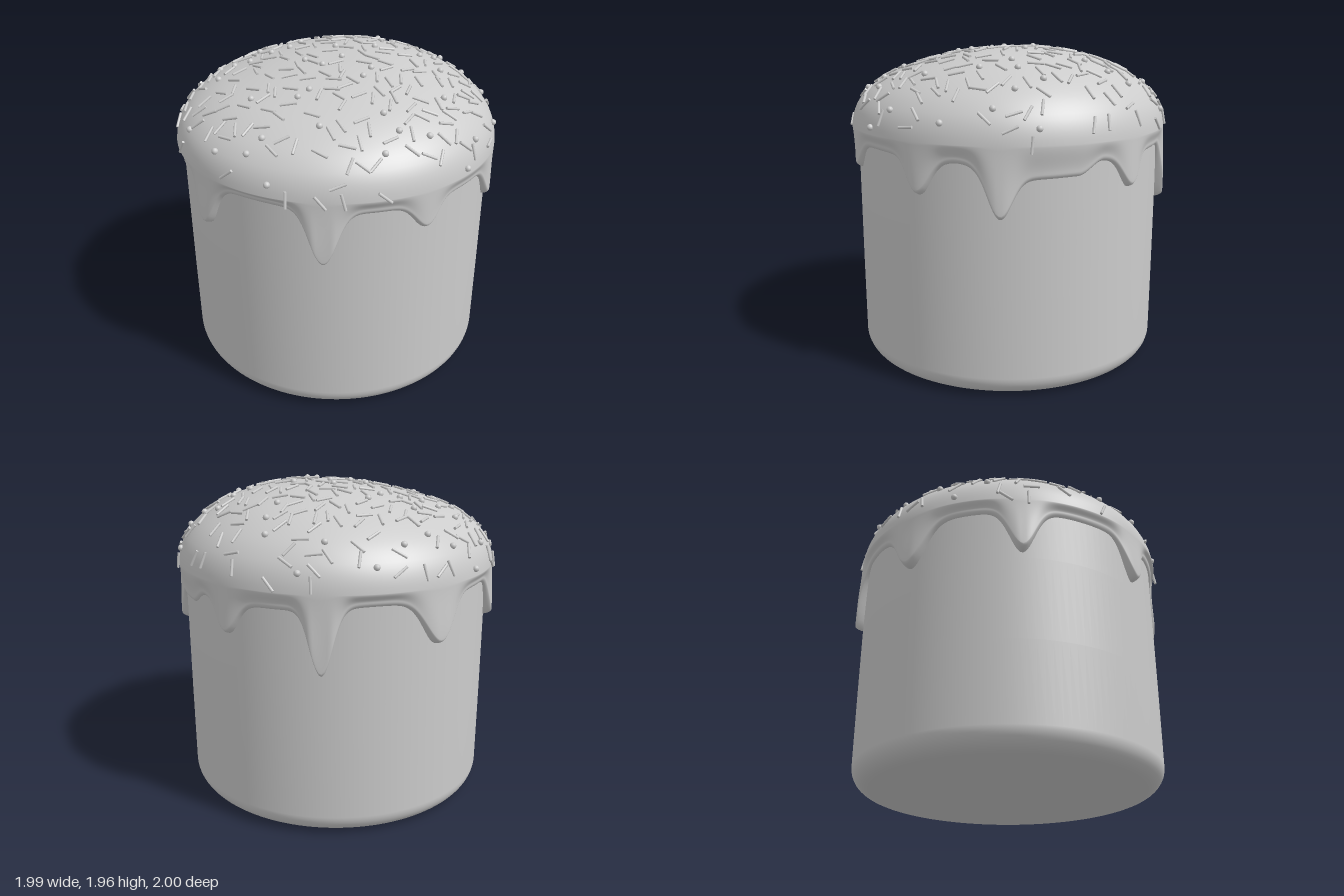
import * as THREE from 'three';
import { mergeGeometries } from 'three/addons/utils/BufferGeometryUtils.js';

const CX = -0.008, CZ = -0.013; // axis of the cake

// Drips: angle in degrees (0 = front, 90 = +x), tip height, width
const DRIPS = [
  [-7.7, 1.07, 6], [27.6, 1.23, 6], [66.5, 1.17, 6], [94.7, 1.06, 5.5], [143.5, 1.18, 6],
  [178, 1.0, 5], [219, 1.13, 8], [260, 1.13, 6], [306.5, 1.14, 6.5],
];
// Arches between the drips: angle, height
const ARCHES = [
  [-30, 1.405], [13, 1.375], [42, 1.375], [79, 1.36], [107, 1.275], [121, 1.28], [131, 1.355],
  [160, 1.36], [197, 1.385], [239, 1.385], [284, 1.39], [330, 1.405],
];

// Dome profile: radius, height
const DOME = new THREE.SplineCurve([
  [0, 1.93], [0.16, 1.927], [0.32, 1.91], [0.5, 1.87], [0.7, 1.8], [0.85, 1.71],
  [0.935, 1.62], [0.972, 1.54], [0.985, 1.47],
].map(([r, y]) => new THREE.Vector2(r, y)));

const smooth = (t) => t * t * (3 - 2 * t);
const mod360 = (a) => ((a % 360) + 360) % 360;

// Height of the arches at an angle, eased between the listed points
function archHeight(deg) {
  const a = mod360(deg + 30) - 30;
  const i = Math.max(1, ARCHES.findIndex((p) => p[0] >= a));
  const [p, q] = [ARCHES[i - 1], ARCHES[i]];
  return p[1] + (q[1] - p[1]) * smooth((a - p[0]) / (q[0] - p[0]));
}

// Lower edge of the icing and how strongly a drip swells there
function icingEdge(deg) {
  const top = archHeight(deg);
  let drop = 0;
  for (const [a, tip, w] of DRIPS) {
    const d = mod360(deg - a + 180) - 180;
    drop += (archHeight(a) - tip) * Math.exp(-((d / w) ** 2));
  }
  return { y: top - drop, swell: Math.min(1, drop / 0.24) };
}

const V_DOME = 0.6, V_WALL = 0.85;

// Point of the icing: v runs from the crown (0) over the dome and wall to the lip (1)
function icingPoint(v, deg) {
  const th = THREE.MathUtils.degToRad(deg);
  let r, y;
  if (v <= V_DOME) {
    const p = DOME.getPointAt(v / V_DOME);
    r = p.x;
    y = p.y + Math.sin(Math.PI * Math.min(r, 1)) * (0.024 * Math.sin(th) - 0.014 * Math.cos(th));
    if (v === V_DOME) y = 1.47;
  } else {
    const e = icingEdge(deg);
    const rEnd = 0.962 + 0.036 * e.swell;
    if (v <= V_WALL) {
      const t = (v - V_DOME) / (V_WALL - V_DOME);
      r = 0.985 + (rEnd - 0.985) * smooth(t);
      y = 1.47 + (e.y + 0.035 - 1.47) * t;
    } else {
      const a = (v - V_WALL) / (1 - V_WALL) * Math.PI / 2;
      r = 0.925 + (rEnd - 0.925) * Math.cos(a);
      y = e.y + 0.035 * (1 - Math.sin(a));
    }
  }
  return new THREE.Vector3(CX + r * Math.sin(th), y, CZ + r * Math.cos(th));
}

function icingGeometry() {
  const cols = 400, rows = 60, pos = [], index = [];
  for (let i = 0; i <= rows; i++) {
    for (let j = 0; j < cols; j++) pos.push(...icingPoint(i / rows, j * 360 / cols).toArray());
  }
  for (let i = 0; i < rows; i++) {
    for (let j = 0; j < cols; j++) {
      const k = (j + 1) % cols;
      const a = i * cols + j, b = a + cols, c = (i + 1) * cols + k, d = i * cols + k;
      index.push(a, b, c);
      if (i > 0) index.push(a, c, d);
    }
  }
  const g = new THREE.BufferGeometry();
  g.setAttribute('position', new THREE.Float32BufferAttribute(pos, 3));
  g.setIndex(index);
  g.computeVertexNormals();
  return g;
}

// Cake body with a rounded bottom edge
function bodyGeometry() {
  const pts = [new THREE.Vector2(0, 0), new THREE.Vector2(0.4, 0)];
  for (let i = 0; i <= 10; i++) {
    const a = i / 10 * Math.PI / 2;
    pts.push(new THREE.Vector2(0.825 + 0.12 * Math.sin(a), 0.12 - 0.12 * Math.cos(a)));
  }
  for (const y of [0.6, 1.1, 1.45]) pts.push(new THREE.Vector2(0.947, y));
  return new THREE.LatheGeometry(pts, 128);
}

function seeded(seed) {
  return () => {
    seed = (seed * 1664525 + 1013904223) % 4294967296;
    return seed / 4294967296;
  };
}

// Scatter rods and beads over the dome, thinning towards the sides
function scatterSprinkles() {
  const rand = seeded(7), rods = [], beads = [], placed = [];
  const rod = new THREE.CylinderGeometry(0.0085, 0.0085, 0.095, 8);
  const bead = new THREE.SphereGeometry(0.019, 12, 8);
  const up = new THREE.Vector3(0, 1, 0);
  for (let n = 0; n < 6000 && placed.length < 300; n++) {
    const s = Math.sqrt(rand()), deg = rand() * 360, keep = rand(), spin = rand() * Math.PI * 2;
    if (keep > 1 - 0.88 * THREE.MathUtils.smoothstep(s, 0.42, 0.95)) continue;
    const v = Math.max(0.02, s * V_DOME);
    const p = icingPoint(v, deg);
    if (placed.some((q) => q.distanceTo(p) < 0.068)) continue;
    placed.push(p);
    const side = icingPoint(v, deg + 1).sub(p).normalize();
    const down = icingPoint(v + 0.005, deg).sub(p).normalize();
    const normal = down.clone().cross(side).normalize();
    const isBead = placed.length % 6 === 0;
    const dir = side.multiplyScalar(Math.cos(spin)).addScaledVector(down, Math.sin(spin)).normalize();
    const m = new THREE.Matrix4().compose(
      p.clone().addScaledVector(normal, 0.005),
      new THREE.Quaternion().setFromUnitVectors(up, dir),
      new THREE.Vector3(1, 1, 1),
    );
    (isBead ? beads : rods).push((isBead ? bead : rod).clone().applyMatrix4(m));
  }
  return { rods: mergeGeometries(rods), beads: mergeGeometries(beads) };
}

export function createModel() {
  const model = new THREE.Group();
  model.name = 'glazedCake';
  const material = new THREE.MeshStandardMaterial({ color: 0xcccccc });
  const add = (name, geometry) => {
    const mesh = new THREE.Mesh(geometry, material);
    mesh.name = name;
    model.add(mesh);
    return mesh;
  };
  add('cakeBody', bodyGeometry()).position.set(CX, 0, CZ);
  add('icing', icingGeometry());
  const { rods, beads } = scatterSprinkles();
  add('rodSprinkles', rods);
  add('beadSprinkles', beads);
  return model;
}
